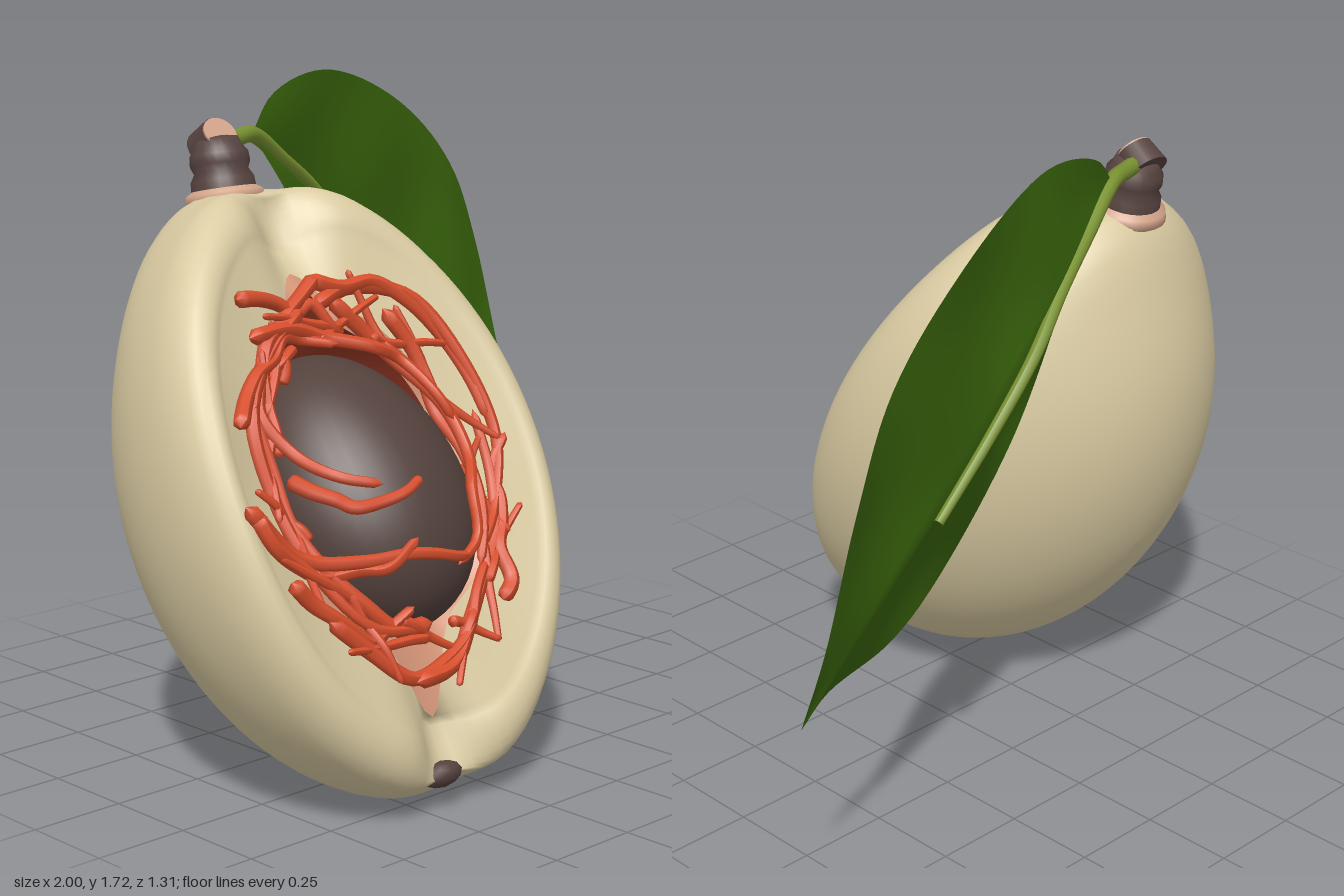
import * as THREE from 'three';

const mat = (name, color, side = THREE.FrontSide) => {
  const m = new THREE.MeshStandardMaterial({ color, side });
  m.name = name;
  return m;
};
const V = (x, y, z) => new THREE.Vector3(x, y, z);
const spline = pts => new THREE.CatmullRomCurve3(pts.map(p => V(...p)));

// Surface through a grid of points; closed grids wrap around their columns
function loft(rows, cols, point, closed) {
  const pos = [], idx = [], w = closed ? cols : cols + 1;
  for (let i = 0; i <= rows; i++) for (let j = 0; j < w; j++) pos.push(...point(i, j / cols));
  for (let i = 0; i < rows; i++) for (let j = 0; j < cols; j++) {
    const a = i * w + j, b = i * w + (j + 1) % w;
    idx.push(a, b, a + w, b, b + w, a + w);
  }
  const g = new THREE.BufferGeometry();
  g.setAttribute('position', new THREE.Float32BufferAttribute(pos, 3));
  g.setIndex(idx);
  g.computeVertexNormals();
  return g;
}

// Tube whose radius follows a rule along its length
function taperedTube(curve, steps, sides, radius, rule) {
  const g = new THREE.TubeGeometry(curve, steps, radius, sides);
  const p = g.attributes.position, v = V(0, 0, 0);
  for (let i = 0; i <= steps; i++) {
    const c = curve.getPointAt(i / steps), k = rule(i / steps);
    for (let j = 0; j <= sides; j++) {
      const n = i * (sides + 1) + j;
      v.fromBufferAttribute(p, n).sub(c).multiplyScalar(k).add(c);
      p.setXYZ(n, v.x, v.y, v.z);
    }
  }
  g.computeVertexNormals();
  return g;
}

export function createModel() {
  const cream = mat('cream flesh', 0xdacba2), brown = mat('seed brown', 0x53413c);
  const red = mat('aril red', 0xd64e2c), stain = mat('stained flesh', 0xd59679);
  const darkRed = mat('cavity dark red', 0x8c3322), bark = mat('bark', 0x56433f);
  const tan = mat('cut wood', 0xd3a48a);
  const green = mat('leaf green', 0x39640c, THREE.DoubleSide), vein = mat('vein green', 0x7a9232);

  const root = new THREE.Group();
  const add = (parent, name, geo, m) => {
    const mesh = new THREE.Mesh(geo, m);
    mesh.name = name;
    parent.add(mesh);
    return mesh;
  };

  // Halved fruit, leaning back: local y is its long axis, local z faces out of the cut
  const fruit = new THREE.Group();
  fruit.name = 'halvedFruit';
  fruit.position.set(-0.435, 0.765, 0.26);
  fruit.rotation.x = -0.456;
  root.add(fruit);

  const W = 0.567, L = 0.8, cols = 96;
  const pinch = t => Math.exp(-((Math.cos(t) / 0.2) ** 2));
  const bulge = t => 0.5 + 0.5 * Math.cos(t) ** 2;
  // Ring of the outer shell: scale s and height h, full at the top of the back, notched at the front
  const shell = (s, h) => t => {
    const g = pinch(t), w = THREE.MathUtils.smoothstep(h, -0.15, 0.03);
    const shoulder = 0.08 * Math.max(0, Math.sin(t)) ** 4 * Math.exp(-(((h + 0.2) / 0.13) ** 2));
    const k = s * (1 - 0.06 * g * w + shoulder);
    return [W * k * Math.cos(t), L * k * Math.sin(t), h > 0 ? h * (bulge(t) - 0.65 * g) : h];
  };
  const stainEdge = t => {
    const r = 1 + 0.03 * Math.sin(7 * t), spike = Math.sin(t) > 0 ? 0.13 : 0.175;
    return [-0.02 + 0.335 * r * Math.cos(t), (0.425 * r + spike * pinch(t)) * Math.sin(t),
      0.07 * bulge(t) + 0.02 - 0.035 * pinch(t)];
  };
  const inner = (rx, ry, h, spike = 0) => t =>
    [-0.02 + rx * Math.cos(t), (ry + spike * pinch(t) * Math.max(0, Math.sin(t))) * Math.sin(t), h];
  const rings = (name, list, m) => add(fruit, name,
    loft(list.length - 1, cols, (i, u) => list[i](u * Math.PI * 2), true), m);

  const outer = [];
  for (let k = 0; k <= 24; k++) {
    const f = k / 24 * Math.PI / 2;
    outer.push(shell(Math.sin(f), -0.62 * Math.cos(f)));
  }
  // Rounded lip of the cut, a half arch turning inwards
  for (let k = 1; k <= 8; k++) {
    const f = k / 8 * Math.PI * 0.68;
    outer.push(shell(1 - 0.125 * (1 - Math.cos(f)), 0.152 * Math.sin(f)));
  }
  const cavityEdge = inner(0.295, 0.395, 0.04, 0.1);
  rings('flesh', [...outer, stainEdge], cream);
  rings('cavityStain', [stainEdge, cavityEdge], stain);
  rings('cavity', [cavityEdge, inner(0.285, 0.375, -0.1), inner(0.2, 0.25, -0.3), inner(0, 0, -0.33)], darkRed);

  // Seed, egg-shaped and fuller towards its lower end
  const seedGeo = new THREE.SphereGeometry(1, 40, 28);
  const sp = seedGeo.attributes.position;
  for (let i = 0; i < sp.count; i++) {
    const y = sp.getY(i), k = 1 - 0.06 * y;
    sp.setXYZ(i, sp.getX(i) * 0.28 * k, y * 0.37, sp.getZ(i) * 0.265 * k - 0.05 * y);
  }
  seedGeo.computeVertexNormals();
  add(fruit, 'seed', seedGeo, brown).position.set(-0.025, -0.03, 0);

  // Aril strands run in polar steps around the seed, draped over it and the cut flesh
  const aril = new THREE.Group();
  aril.name = 'aril';
  fruit.add(aril);
  const onSeed = (t, r, lift) => {
    const face = 0.085 + 0.05 * Math.max(0, r * r - 1) * Math.cos(t) ** 2;
    const over = r < 1 ? 0.285 * Math.sqrt(1 - r * r) : 0;
    return [-0.025 + 0.3 * r * Math.cos(t), -0.03 + 0.39 * r * Math.sin(t),
      Math.max(face, over) + 0.06 * Math.min(1, r) * Math.max(0, -Math.sin(t)) + lift];
  };
  const strand = (pts, radius) => add(aril, 'arilStrand', taperedTube(spline(pts), 32, 7, radius,
    u => Math.min(1, Math.sqrt(Math.min(u, 1 - u) * 30)) * (1.15 - 0.5 * u)), red);
  let state = 7;
  const rnd = () => (state = (state * 16807) % 2147483647) / 2147483647;

  // Main strands: start and end angle in degrees, start and end distance, sideways bow
  const sweeps = [
    [95, -40, 1.25, 0.85, 0.38], [85, -85, 1.25, 0.65, -0.35], [100, 260, 1.15, 0.95, 0.12],
    [110, 190, 1.2, 0.45, 0.25], [180, 290, 1.6, 0.65, -0.5], [182, 235, 1.5, 0.6, 0],
    [215, 320, 1.4, 0.95, 0], [250, 375, 1.3, 1.25, -0.2], [130, 20, 1.3, 0.75, -0.1],
    [160, 95, 1.4, 0.95, 0], [265, 150, 1, 1.2, -0.15], [310, 365, 1.25, 1.35, -0.15],
    [60, -50, 1.25, 0.9, -0.2], [88, 150, 1.35, 1.1, -0.1], [92, 10, 1.35, 1.3, 0.05],
    [172, 215, 1, 0.2, 0.1], [125, 80, 1.5, 1, 0], [200, 250, 1.5, 0.95, 0]
  ];
  for (const [from, to, r0, r1, bow] of sweeps) {
    const pts = [];
    for (let k = 0; k <= 6; k++) {
      const u = k / 6, t = THREE.MathUtils.degToRad(from + (to - from) * u);
      pts.push(onSeed(t, r0 + (r1 - r0) * u + bow * Math.sin(Math.PI * u) + 0.14 * (rnd() - 0.5), 0.015 * rnd()));
    }
    strand(pts, 0.019);
  }

  // Finer strands branching outwards around the edge of the seed
  for (let i = 0; i < 22; i++) {
    const t0 = i / 22 * Math.PI * 2, span = 0.25 + 0.45 * rnd(), r0 = 0.95 + 0.1 * rnd(), r1 = 1.15 + 0.3 * rnd();
    const pts = [];
    for (let k = 0; k <= 4; k++) {
      const t = t0 + (i % 2 ? 1 : -1) * span * k / 4;
      pts.push(onSeed(t, r0 + (r1 - r0) * (k / 4) ** 2, 0.02 * rnd()));
    }
    strand(pts, 0.013);
  }

  // Dried flower end at the bottom of the fruit
  const nub = add(fruit, 'blossomEnd', new THREE.IcosahedronGeometry(0.055, 1), bark);
  nub.position.set(-0.015, -0.75, -0.02);
  nub.scale.set(1.1, 0.6, 0.8);

  // Woody stem with a pale collar and a slanting cut face
  const stem = new THREE.Group();
  stem.name = 'stem';
  stem.position.set(-0.46, 1.42, -0.2);
  stem.rotation.x = -0.2;
  root.add(stem);
  const lathe = pts => new THREE.LatheGeometry(pts.map(p => new THREE.Vector2(...p)), 24);
  add(stem, 'stemCollar', lathe([[0.08, -0.02], [0.105, 0], [0.1, 0.025], [0.07, 0.045]]), tan);
  add(stem, 'stemBark', lathe([[0.085, 0.02], [0.082, 0.06], [0.07, 0.08], [0.078, 0.1], [0.076, 0.125],
    [0.064, 0.14], [0.055, 0.165], [0, 0.175]]), bark);
  const cut = new THREE.Group();
  cut.name = 'stemCut';
  cut.position.set(-0.462, 1.572, -0.24);
  cut.quaternion.setFromUnitVectors(V(0, 1, 0), V(-0.08, 0.62, 0.75).normalize());
  root.add(cut);
  add(cut, 'cutBark', new THREE.CylinderGeometry(0.05, 0.06, 0.07, 20), bark);
  add(cut, 'cutFace', new THREE.CylinderGeometry(0.047, 0.047, 0.008, 20), tan).position.y = 0.036;

  // Leaf blade spanned between upper edge, midrib and lower edge
  const base = [-0.27, 1.575, -0.315], tip = [0.995, 0.585, -0.53];
  const upper = spline([base, [-0.15, 1.67, -0.37], [0.12, 1.72, -0.45], [0.57, 1.58, -0.59],
    [0.79, 1.39, -0.625], [0.92, 1.15, -0.65], [0.968, 0.8, -0.59], tip]);
  const mid = spline([base, [0.1, 1.38, -0.47], [0.45, 1.1, -0.535], [0.75, 0.85, -0.555], tip]);
  const lower = spline([base, [-0.12, 1.39, -0.335], [0.12, 0.99, -0.35],
    [0.44, 0.695, -0.385], [0.6, 0.62, -0.41], [0.87, 0.612, -0.48], tip]);
  const leaf = new THREE.Group();
  leaf.name = 'leaf';
  root.add(leaf);
  add(leaf, 'leafBlade', loft(48, 24, (i, u) => {
    const t = i / 48, s = Math.abs(u * 2 - 1);
    const p = mid.getPointAt(t).lerp((u < 0.5 ? lower : upper).getPointAt(t), s);
    p.z += Math.sin(Math.PI * s) * Math.sin(Math.PI * t) * (0.015 + 0.014 * Math.sin(t * 20));
    return p.toArray();
  }, false), green);

  // Leaf stalk running on into the midrib, which sinks to the back of the blade
  const ribPoints = [0.12, 0.24, 0.36, 0.5, 0.65].map((t, i) =>
    mid.getPointAt(t).add(V(0, 0, i < 2 ? 0.004 : -0.016)).toArray());
  const rib = spline([[-0.43, 1.57, -0.25], [-0.36, 1.572, -0.275], base, ...ribPoints]);
  add(leaf, 'leafStalkAndMidrib', taperedTube(rib, 50, 10, 0.024, u => 1 - 0.5 * u), vein);

  return root;
}
